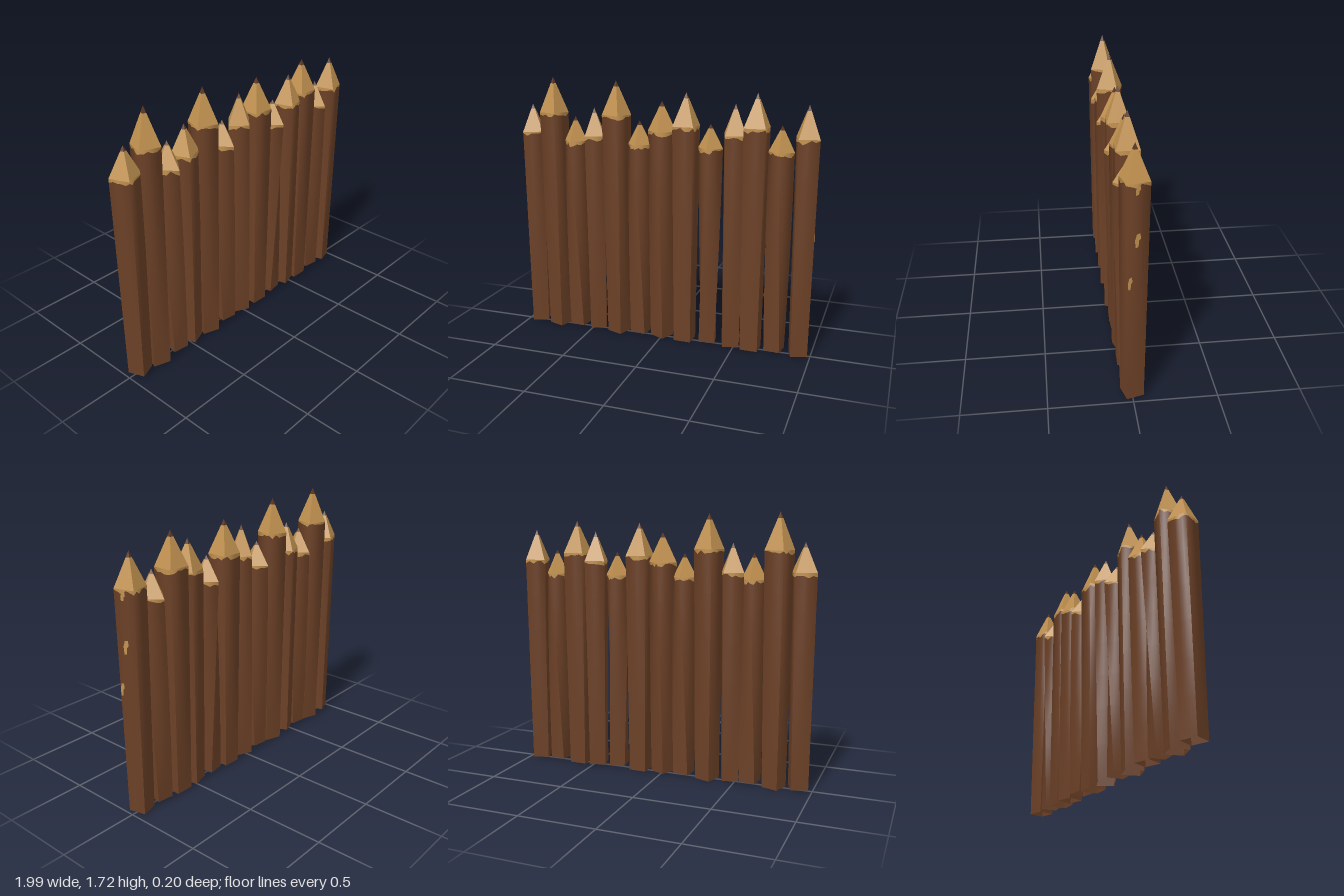
import * as THREE from 'three';

const bark = new THREE.MeshStandardMaterial({ name: 'bark brown', color: 0x6b4026, side: THREE.DoubleSide });
const wood = new THREE.MeshStandardMaterial({ name: 'cut wood tan', color: 0xc29250, side: THREE.DoubleSide });
const dark = new THREE.MeshStandardMaterial({ name: 'dark tip brown', color: 0x5c3824, side: THREE.DoubleSide });

// x, base y, shoulder y, apex y, half width x, half width z, top angle, base angle (degrees)
const STAKES = [
  [-0.91, 0.015, 1.36, 1.54, 0.092, 0.092, 24, 24],
  [-0.755, 0, 1.49, 1.72, 0.094, 0.094, -27, -27],
  [-0.6, 0.02, 1.31, 1.47, 0.08, 0.098, 0, -37],
  [-0.465, 0.015, 1.35, 1.53, 0.09, 0.09, 24, 24],
  [-0.31, 0, 1.49, 1.71, 0.095, 0.095, -26, -26],
  [-0.15, 0.02, 1.31, 1.46, 0.08, 0.098, 0, -37],
  [0, 0.01, 1.40, 1.59, 0.095, 0.088, 0, -20],
  [0.16, 0.005, 1.44, 1.65, 0.097, 0.097, 47, 47],
  [0.32, 0.02, 1.31, 1.46, 0.08, 0.098, 0, 37],
  [0.475, 0.01, 1.40, 1.59, 0.092, 0.092, 29, 29],
  [0.61, 0.005, 1.45, 1.66, 0.097, 0.097, 46, 46],
  [0.765, 0.02, 1.31, 1.47, 0.08, 0.098, 0, -37],
  [0.92, 0.01, 1.40, 1.60, 0.091, 0.091, 30, 30],
];
const BASE_SCALE = 0.83; // stakes narrow towards the ground
const SEG = 5;           // columns per side, for the ragged bark edge
const ROWS = 6;

function seeded(seed) {
  let s = seed;
  return () => (s = (s * 16807) % 2147483647) / 2147483647;
}

// Four-sided sheet: point(side, column, v) and normal(side, column, v) give each vertex
function fourSided(rows, point, normal) {
  const pos = [], nor = [], index = [];
  for (let side = 0; side < 4; side++) {
    const start = pos.length / 3;
    for (let r = 0; r <= rows; r++) {
      for (let c = 0; c <= SEG; c++) {
        pos.push(...point(side, c, r / rows).toArray());
        nor.push(...normal(side, c, r / rows).toArray());
      }
    }
    for (let r = 0; r < rows; r++) {
      for (let c = 0; c < SEG; c++) {
        const a = start + r * (SEG + 1) + c, b = a + 1, d = a + SEG + 1;
        index.push(a, d, b, b, d, d + 1);
      }
    }
  }
  const g = new THREE.BufferGeometry();
  g.setAttribute('position', new THREE.Float32BufferAttribute(pos, 3));
  g.setAttribute('normal', new THREE.Float32BufferAttribute(nor, 3));
  g.setIndex(index);
  return g;
}

function makeStake([x, y0, y1, y2, rx, rz, topAngle, baseAngle], i) {
  const stake = new THREE.Group();
  stake.name = 'stake' + (i + 1);
  stake.position.x = x;

  // Corner k at height t (0 base, 1 shoulder)
  const corner = (k, t) => {
    const a = THREE.MathUtils.degToRad(THREE.MathUtils.lerp(baseAngle, topAngle, t) + 90 * k);
    const s = THREE.MathUtils.lerp(BASE_SCALE, 1, t), r = (rx + rz) / 2;
    return new THREE.Vector3(
      s * THREE.MathUtils.lerp(r, rx, t) * Math.cos(a),
      THREE.MathUtils.lerp(y0, y1, t),
      s * THREE.MathUtils.lerp(r, rz, t) * Math.sin(a));
  };
  const onShaft = (k, c, t) => corner(k, t).lerp(corner(k + 1, t), c / SEG);
  // Crisp corners at the base, softening towards the shoulder
  const shaftNormal = (k, c, t) => {
    const flat = corner(k, t).add(corner(k + 1, t)).setY(0).normalize();
    const round = onShaft(k, c, t).setY(0).normalize();
    return flat.lerp(round, t).normalize();
  };

  // Ragged line where the bark has been cut away
  const rand = seeded(101 + i * 977);
  const ragged = Array.from({ length: 4 * SEG }, () => 1 - (0.004 + 0.028 * rand()) / (y1 - y0));
  const edge = (k, c) => ragged[(k * SEG + c) % (4 * SEG)];

  const add = (name, geometry, material) => {
    const m = new THREE.Mesh(geometry, material);
    m.name = name;
    stake.add(m);
  };
  add('barkShaft', fourSided(ROWS,
    (k, c, v) => onShaft(k, c, v * edge(k, c)),
    (k, c, v) => shaftNormal(k, c, v * edge(k, c))), bark);
  const bandT = (k, c, v) => THREE.MathUtils.lerp(edge(k, c), 1, v);
  add('peeledBand', fourSided(1,
    (k, c, v) => onShaft(k, c, bandT(k, c, v)),
    (k, c, v) => shaftNormal(k, c, bandT(k, c, v))), wood);

  // Sharpened point with flat facets and a darker end
  const apex = new THREE.Vector3(0, y2, 0);
  const facet = (k) => {
    const a = corner(k, 1), b = corner(k + 1, 1);
    return apex.clone().sub(a).cross(b.sub(a)).normalize();
  };
  const cone = (from, to) => fourSided(1,
    (k, c, v) => onShaft(k, c, 1).lerp(apex, THREE.MathUtils.lerp(from, to, v)), facet);
  add('sharpenedPoint', cone(0, 0.82), wood);
  add('darkTip', cone(0.82, 1), dark);

  // Bark chips missing from the outer face of the last stake
  if (i === STAKES.length - 1) {
    for (const [y, z, w, h] of [[1.36, -0.01, 0.03, 0.05], [1.07, -0.012, 0.034, 0.085], [0.81, 0.028, 0.026, 0.08]]) {
      const t = (y - y0) / (y1 - y0);
      const a = corner(3, t), b = corner(4, t);
      const p = a.clone().lerp(b, (z - a.z) / (b.z - a.z));
      const n = b.clone().add(a).setY(0).normalize();
      const shape = new THREE.Shape([[-0.4, -0.5], [0.1, -0.45], [0.2, 0], [0.5, 0.1], [0.4, 0.5], [-0.2, 0.45], [-0.5, 0.05]]
        .map(([u, v]) => new THREE.Vector2(u * w, v * h)));
      const chip = new THREE.Mesh(new THREE.ShapeGeometry(shape), wood);
      chip.name = 'barkChip';
      chip.position.copy(p).addScaledVector(n, 0.003);
      chip.rotation.y = Math.atan2(n.x, n.z);
      stake.add(chip);
    }
  }
  return stake;
}

export function createModel() {
  const fence = new THREE.Group();
  fence.name = 'palisadeFence';
  STAKES.forEach((s, i) => fence.add(makeStake(s, i)));
  return fence;
}
